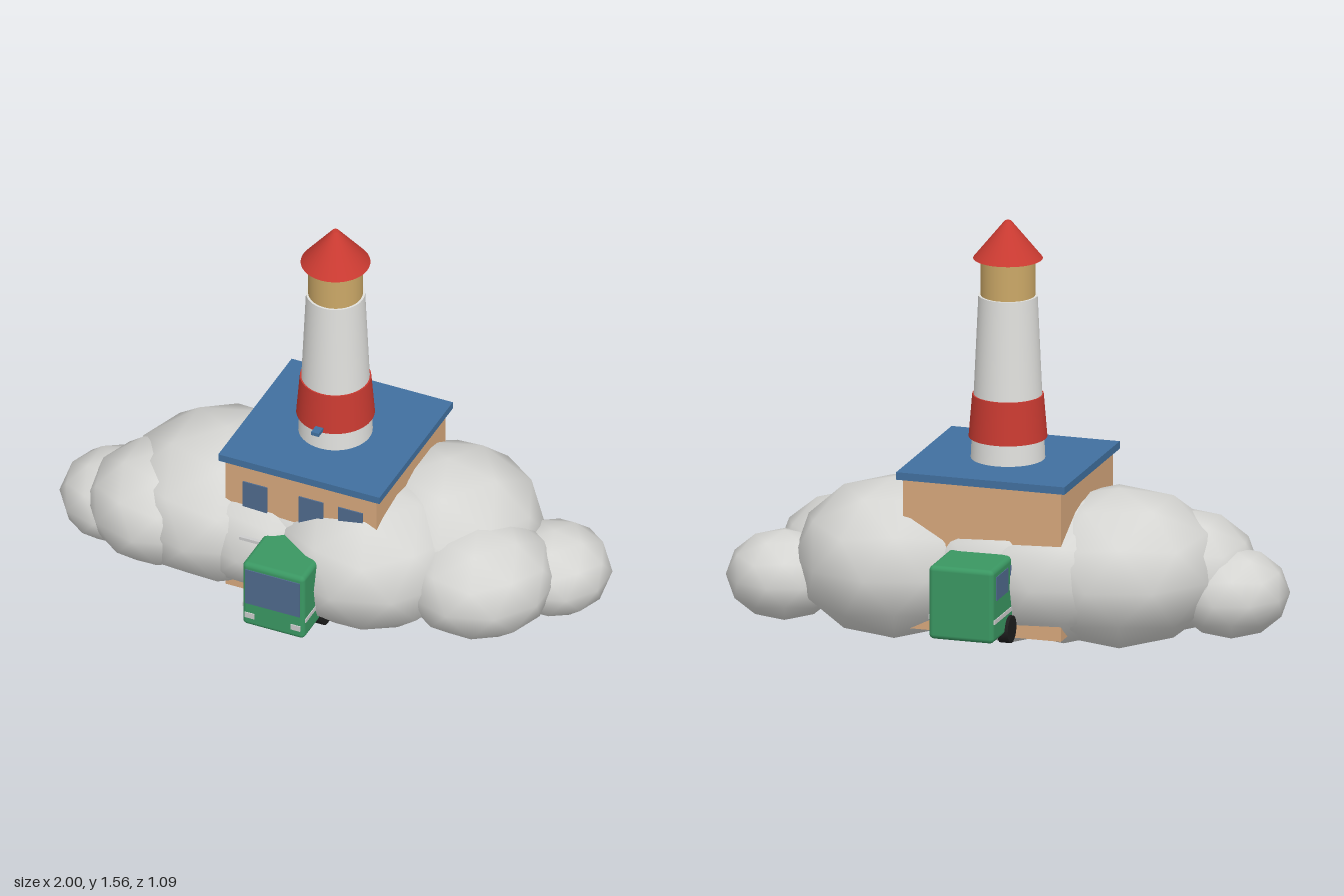
import * as THREE from 'three';
import { RoundedBoxGeometry } from 'three/addons/geometries/RoundedBoxGeometry.js';

const mat = (name, color) => {
  const m = new THREE.MeshStandardMaterial({ color });
  m.name = name;
  return m;
};

export function createModel() {
  const M = {
    stone: mat('pale rock grey', 0xd6d6d3),
    white: mat('tower white', 0xe0e0dd),
    red: mat('red', 0xc93a31),
    gold: mat('lantern gold', 0xcba867),
    blue: mat('roof blue', 0x41709f),
    tan: mat('wall tan', 0xd6a77c),
    green: mat('van green', 0x3a9762),
    glass: mat('window glass', 0x4f6a8c),
    black: mat('tyre black', 0x1e1e1e),
    silver: mat('silver trim', 0xcccccc),
  };
  const model = new THREE.Group();
  model.name = 'lighthouseIsland';

  const add = (parent, name, geometry, material, x, y, z) => {
    const mesh = new THREE.Mesh(geometry, material);
    mesh.name = name;
    mesh.position.set(x, y, z);
    parent.add(mesh);
    return mesh;
  };
  const box = (parent, name, material, w, h, d, x, y, z) =>
    add(parent, name, new THREE.BoxGeometry(w, h, d), material, x, y, z);
  const group = (name) => {
    const g = new THREE.Group();
    g.name = name;
    model.add(g);
    return g;
  };
  const CX = 0.005; // shared axis of house, tower and van

  // Boulders: coarse icospheres standing on a vertex, slightly flattened
  const rocks = group('rocks');
  const ball = new THREE.IcosahedronGeometry(1, 1);
  ball.rotateZ(-Math.atan(2 / (1 + Math.sqrt(5))));
  [ // x, y, z, radius, half height
    [0, 0.3, 0, 0.37, 0.298],
    [0.4, 0.305, -0.1, 0.36, 0.295],
    [0.2, 0.3, 0.12, 0.36, 0.282],
    [0.6, 0.265, 0.075, 0.283, 0.213],
    [0.8, 0.213, -0.14, 0.21, 0.164],
    [-0.2, 0.3, 0.015, 0.395, 0.28],
    [-0.4, 0.3, 0.04, 0.39, 0.29],
    [-0.6, 0.28, 0.15, 0.28, 0.22],
    [-0.8, 0.22, 0.11, 0.21, 0.165],
  ].forEach(([x, y, z, r, h], i) => {
    add(rocks, `rock${i + 1}`, ball, M.stone, x, y, z).scale.set(r, h, r);
  });

  // House with a flat roof slab
  const house = group('house');
  box(house, 'walls', M.tan, 0.594, 0.555, 0.594, CX, 0.378, 0);
  box(house, 'roof', M.blue, 0.633, 0.028, 0.633, CX, 0.668, 0);
  for (const x of [-0.175, 0.045, 0.2])
    box(house, 'window', M.glass, 0.096, 0.12, 0.008, x, 0.518, 0.298);
  box(house, 'door', M.black, 0.1, 0.2, 0.008, -0.155, 0.201, 0.298);

  // Round tower, lantern and cap
  const tower = group('tower');
  const drum = (name, material, rTop, rBottom, y0, y1) =>
    add(tower, name, new THREE.CylinderGeometry(rTop, rBottom, y1 - y0, 40), material, CX, (y0 + y1) / 2, 0);
  drum('shaft', M.white, 0.106, 0.134, 0.67, 1.285);
  drum('redBand', M.red, 0.128, 0.141, 0.76, 0.918);
  drum('lantern', M.gold, 0.098, 0.098, 1.285, 1.425);
  drum('cap', M.red, 0.012, 0.125, 1.422, 1.56);
  box(tower, 'canopy', M.blue, 0.03, 0.014, 0.08, CX, 0.774, 0.138);

  // Van running through the rocks from front to back
  const van = group('van');
  add(van, 'body', new RoundedBoxGeometry(0.244, 0.272, 1.084, 3, 0.018), M.green, CX, 0.276, 0);
  box(van, 'windshield', M.glass, 0.214, 0.148, 0.008, CX, 0.314, 0.542);
  box(van, 'sideArm', M.silver, 0.1, 0.012, 0.014, -0.15, 0.387, 0.374);
  for (const s of [-1, 1]) {
    box(van, 'headlight', M.silver, 0.038, 0.022, 0.008, CX + s * 0.09, 0.188, 0.542);
    box(van, 'stripe', M.silver, 0.006, 0.016, 1.06, CX + s * 0.122, 0.219, 0);
    for (let i = 0; i < 6; i++)
      box(van, 'sideWindow', M.glass, 0.006, 0.088, 0.13, CX + s * 0.122, 0.338, -0.44 + i * 0.16);
    for (const z of [-0.36, 0.36]) {
      const wheel = add(van, 'wheel', new THREE.CylinderGeometry(0.05, 0.05, 0.04, 24), M.black, CX + s * 0.114, 0.15, z);
      wheel.rotation.z = Math.PI / 2;
    }
  }
  return model;
}
